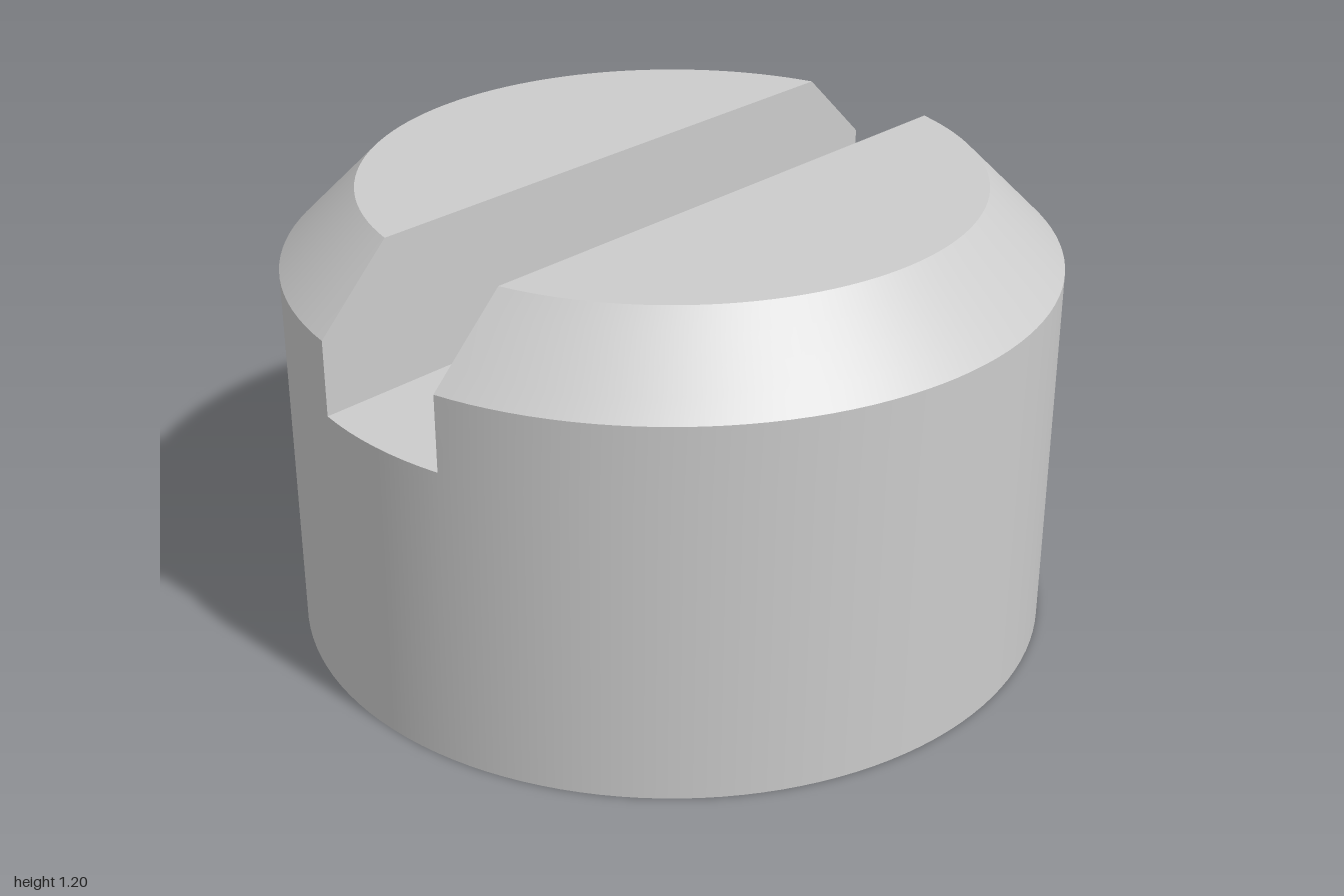
import * as THREE from 'three';
import { mergeGeometries, toCreasedNormals } from 'three/addons/utils/BufferGeometryUtils.js';

const SLOT = 0.2;    // half width of the slot
const FLOOR = 0.8;   // height of the slot floor
const HALF_SEGS = 56, END_SEGS = 8;

// Angle at which a circle of radius r meets the slot wall
const slotAngle = r => Math.asin(SLOT / r);

// Points [x, z] on an arc
function arc(r, from, to, segs) {
  return Array.from({ length: segs + 1 }, (_, i) => {
    const t = from + (to - from) * i / segs;
    return [r * Math.cos(t), r * Math.sin(t)];
  });
}

// Outward-facing surface through stacked arcs, each { y, points }
function loft(rows) {
  const n = rows[0].points.length, pos = [], index = [];
  for (const { y, points } of rows) for (const [x, z] of points) pos.push(x, y, z);
  for (let j = 0; j < rows.length - 1; j++) {
    for (let i = 0; i < n - 1; i++) {
      const a = j * n + i, b = a + 1, c = a + n, d = c + 1;
      index.push(a, c, b, b, c, d);
    }
  }
  const g = new THREE.BufferGeometry();
  g.setAttribute('position', new THREE.Float32BufferAttribute(pos, 3));
  g.setIndex(index);
  g.computeVertexNormals();
  return g;
}

function flat(points) {
  const g = new THREE.ShapeGeometry(new THREE.Shape(points.map(p => new THREE.Vector2(...p))));
  g.deleteAttribute('uv');
  return g;
}
const capUp = (points, y) => flat(points.map(([x, z]) => [x, -z])).rotateX(-Math.PI / 2).translate(0, y, 0);
const capDown = (points, y) => flat(points).rotateX(Math.PI / 2).translate(0, y, 0);

export function createModel() {
  const group = new THREE.Group();
  group.name = 'slottedScrewHead';

  // Profile of radius and height: straight side, then 45 degree chamfer
  const profile = [[1, 0], [1, FLOOR], [1, 1], [0.95, 1.05], [0.9, 1.1], [0.85, 1.15], [0.8, 1.2]];
  const rows = profile.map(([r, y]) => ({
    y, points: arc(r, slotAngle(r), Math.PI - slotAngle(r), HALF_SEGS)
  }));

  // Front half: side with chamfer, top face and slot wall
  const side = loft(rows);
  const top = capUp(rows.at(-1).points, 1.2);
  const edge = profile.slice(1).map(([r, y]) => [Math.sqrt(r * r - SLOT * SLOT), y]);
  const wall = flat([...edge, ...edge.map(([x, y]) => [-x, y]).reverse()])
    .rotateY(Math.PI).translate(0, 0, SLOT);

  // Low side below one open end of the slot
  const a = slotAngle(1);
  const end = arc(1, -a, a, END_SEGS);
  const endSide = loft([{ y: 0, points: end }, { y: FLOOR, points: end }]);

  // The other half is the same, turned half way round
  const half = [side, top, wall, endSide];
  const parts = [...half, ...half.map(g => g.clone().rotateY(Math.PI))];

  // Slot floor and underside
  const turn = points => points.map(([x, z]) => [-x, -z]);
  const front = rows[0].points;
  parts.push(capUp([...end, ...turn(end)], FLOOR));
  parts.push(capDown([
    ...end.slice(0, -1), ...front.slice(0, -1),
    ...turn(end).slice(0, -1), ...turn(front).slice(0, -1)
  ], 0));

  const geometry = toCreasedNormals(mergeGeometries(parts.map(g => g.toNonIndexed())), 0.5);
  const mesh = new THREE.Mesh(geometry, new THREE.MeshStandardMaterial({ color: 0xcccccc }));
  mesh.name = 'head';
  group.add(mesh);
  return group;
}
